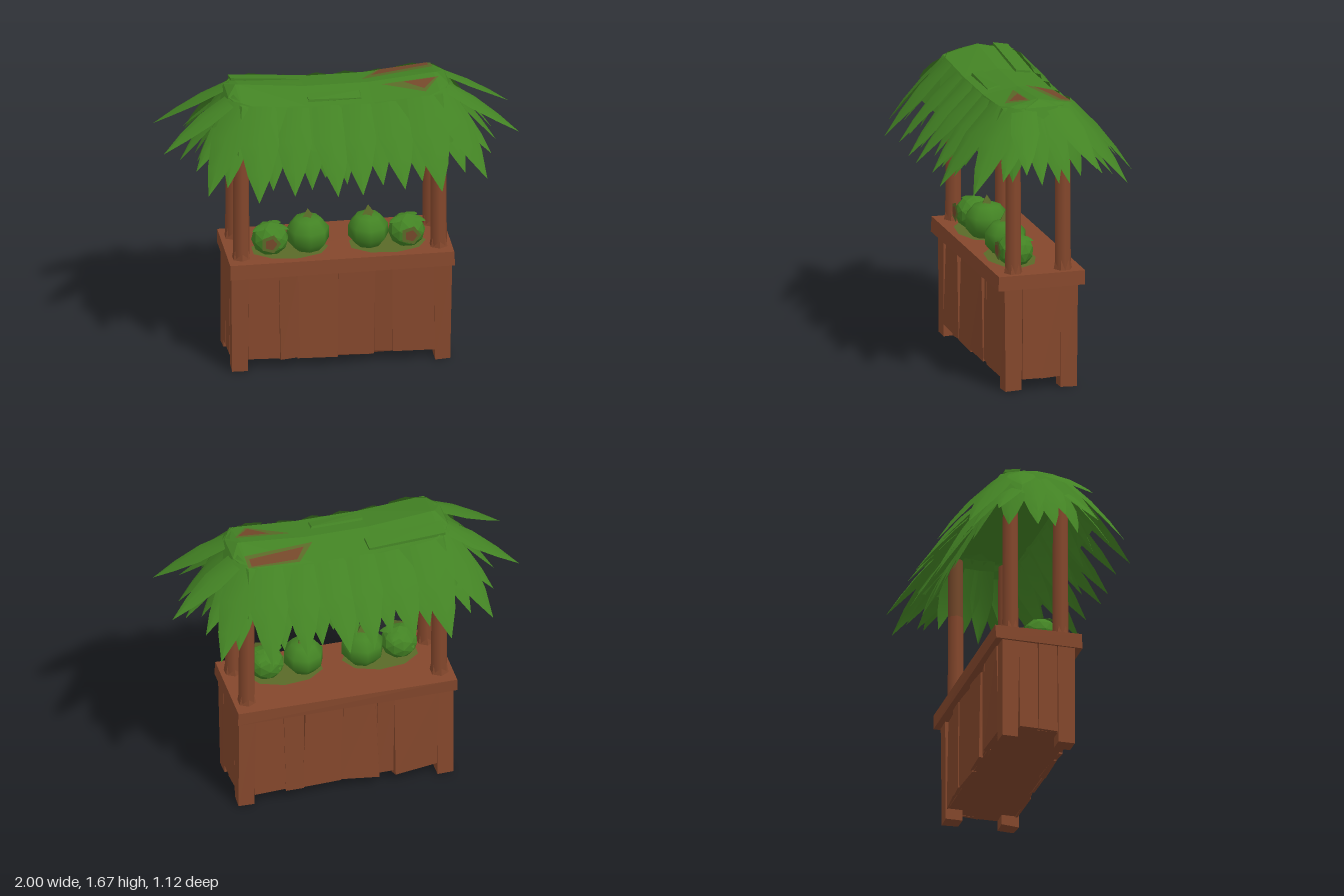
import * as THREE from 'three';

function material(name, color) {
  const m = new THREE.MeshStandardMaterial({ color, side: THREE.DoubleSide });
  m.name = name;
  return m;
}
const wood = material('wood', 0x84472c);
const leafGreen = material('leafGreen', 0x438324);
const driedLeaf = material('driedLeaf', 0x74482a);
const oliveLeaf = material('oliveLeaf', 0x5a6a28);

// Small seeded generator for the hand-hewn irregularity
let seed = 7;
const rnd = (a) => {
  seed = (seed * 16807) % 2147483647;
  return (seed / 2147483647 - 0.5) * 2 * a;
};

function add(parent, name, geo, mat, x = 0, y = 0, z = 0) {
  const m = new THREE.Mesh(geo, mat);
  m.name = name;
  m.position.set(x, y, z);
  parent.add(m);
  return m;
}

function faceted(geo) {
  const g = geo.index ? geo.toNonIndexed() : geo;
  g.computeVertexNormals();
  return g;
}

// Box whose corners are nudged and whose foot may be narrower than its top
function hewnBox(w, h, d, wobble, foot = 1) {
  const g = new THREE.BoxGeometry(w, h, d);
  const p = g.attributes.position;
  const moved = {};
  for (let i = 0; i < p.count; i++) {
    const key = [p.getX(i), p.getY(i), p.getZ(i)].map((v) => Math.sign(v)).join();
    moved[key] ??= [rnd(wobble), rnd(wobble), rnd(wobble)];
    const [a, b, c] = moved[key];
    const s = p.getY(i) < 0 ? foot : 1;
    p.setXYZ(i, p.getX(i) * s + a, p.getY(i) + b, p.getZ(i) * s + c);
  }
  return faceted(g);
}

function meshFrom(points, index) {
  const g = new THREE.BufferGeometry();
  g.setAttribute('position', new THREE.Float32BufferAttribute(points.flat(), 3));
  g.setIndex(index);
  g.computeVertexNormals();
  return g;
}

// Pointed leaf with a raised midrib, running from root to tip
function leaf(root, tip, width) {
  const a = new THREE.Vector3(...root), b = new THREE.Vector3(...tip);
  const dir = b.clone().sub(a).normalize();
  const side = dir.clone().cross(new THREE.Vector3(0, 1, 0)).normalize();
  const up = side.clone().cross(dir);
  const rows = [[0, 0.85, 0], [0.4, 1, 0.03], [0.72, 0.6, 0.03], [1, 0.01, 0]];
  const pts = [], idx = [];
  rows.forEach(([t, w, lift], r) => {
    for (let k = -1; k <= 1; k++) {
      const p = a.clone().lerp(b, t).addScaledVector(side, k * w * width / 2);
      p.addScaledVector(up, (k === 0 ? lift + 0.12 * w : lift) * width);
      pts.push(p.toArray());
    }
    if (r) for (let k = 0; k < 2; k++) {
      const i = (r - 1) * 3 + k;
      idx.push(i, i + 1, i + 4, i, i + 4, i + 3);
    }
  });
  return meshFrom(pts, idx);
}

function buildCounter() {
  const g = new THREE.Group();
  g.name = 'counter';
  add(g, 'cabinet', new THREE.BoxGeometry(1.2, 0.54, 0.39), wood, 0, 0.335, 0);
  add(g, 'counterTop', hewnBox(1.27, 0.08, 0.505, 0.006), wood, 0, 0.631, 0);

  // Corner legs
  for (const sx of [-1, 1]) for (const sz of [-1, 1])
    add(g, 'leg', hewnBox(0.095, 0.6, 0.1, 0.004, 0.94), wood, sx * 0.572, 0.304, sz * 0.163);

  // Uneven planks on the long sides
  const edges = [-0.53, -0.35, -0.24, -0.02, 0.18, 0.28, 0.53];
  for (const s of [-1, 1]) for (let i = 0; i < edges.length - 1; i++) {
    const w = edges[i + 1] - edges[i];
    add(g, 'sidePlank', hewnBox(w, 0.53, 0.025, 0.011), wood,
      s * (edges[i] + w / 2), 0.33, s * (0.194 + (i % 2) * 0.007));
  }
  // Planks on the short ends
  for (const s of [-1, 1]) for (const z of [-0.055, 0.055])
    add(g, 'endPlank', hewnBox(0.025, 0.53, 0.11, 0.004), wood, s * 0.606, 0.33, z);

  // Green tint left on the counter around each pair of fruit
  for (const s of [-1, 1]) {
    const tint = add(g, 'counterTint', new THREE.CircleGeometry(1, 9), oliveLeaf, s * 0.275, 0.679, 0.075);
    tint.rotation.x = -Math.PI / 2;
    tint.scale.set(0.22, 0.14, 1);
  }
  return g;
}

function buildPosts() {
  const g = new THREE.Group();
  g.name = 'posts';
  for (const sx of [-1, 1]) for (const sz of [-1, 1]) {
    const x = sx * 0.556, z = sz * 0.145;
    add(g, 'post', new THREE.CylinderGeometry(0.044, 0.047, 0.6, 8), wood, x, 0.95, z);
    add(g, 'postUpper', new THREE.CylinderGeometry(0.043, 0.044, 0.35, 8),
      sx > 0 && sz < 0 ? driedLeaf : wood, x, 1.425, z);
    add(g, 'postFoot', faceted(new THREE.CylinderGeometry(0.044, 0.056, 0.07, 6)), wood, x, 0.695, z);
  }
  return g;
}

// Full loop of 12 points from one quarter
function ring(quarter) {
  const back = [...quarter].reverse();
  const flip = (list, sx, sz) => list.map(([x, y, z]) => [x * sx, y, z * sz]);
  return [...quarter, ...flip(back, 1, -1), ...flip(quarter, -1, -1), ...flip(back, -1, 1)];
}

function buildCanopy() {
  const g = new THREE.Group();
  g.name = 'leafCanopy';

  // Thatch shell: ridge, shoulder and skirt loops
  const loops = [
    [[0.18, 1.638, 0], [0.55, 1.673, 0], [0.57, 1.673, 0]],
    [[0.18, 1.605, 0.2], [0.56, 1.63, 0.205], [0.62, 1.64, 0.09]],
    [[0.18, 1.4, 0.355], [0.6, 1.4, 0.355], [0.73, 1.45, 0.13]],
  ].map(ring);
  const n = 12, idx = [];
  for (let r = 0; r < 2; r++) for (let k = 0; k < n; k++) {
    const a = r * n + k, b = r * n + ((k + 1) % n);
    idx.push(a, a + n, b + n, a, b + n, b);
  }
  add(g, 'thatch', faceted(meshFrom(loops.flat(), idx)), leafGreen);

  // Root, tip and width for one quarter, mirrored to the others
  const leaves = [
    [[0.08, 1.6, 0.2], [0.07, 1.21, 0.56], 0.2],
    [[0.27, 1.6, 0.2], [0.31, 1.22, 0.54], 0.2],
    [[0.46, 1.62, 0.2], [0.515, 1.2, 0.56], 0.22],
    [[0.56, 1.63, 0.16], [0.785, 1.21, 0.45], 0.2],
    [[0.58, 1.64, 0.09], [1.0, 1.37, 0.205], 0.16],
    [[0.59, 1.64, 0.03], [0.89, 1.27, 0.08], 0.14],
    [[0.0, 1.57, 0.18], [0.0, 1.22, 0.43], 0.15],
    [[0.17, 1.58, 0.18], [0.2, 1.21, 0.45], 0.17],
    [[0.38, 1.58, 0.18], [0.42, 1.22, 0.45], 0.17],
    [[0.55, 1.57, 0.14], [0.67, 1.23, 0.4], 0.16],
    [[0.58, 1.58, 0.1], [0.83, 1.29, 0.29], 0.14],
    [[0.59, 1.58, 0.03], [0.79, 1.24, 0.05], 0.13],
    // steeper inner layer
    [[0.1, 1.55, 0.18], [0.11, 1.23, 0.35], 0.16],
    [[0.3, 1.55, 0.18], [0.31, 1.24, 0.35], 0.16],
    [[0.48, 1.55, 0.18], [0.52, 1.23, 0.35], 0.16],
    [[0.6, 1.55, 0.13], [0.72, 1.25, 0.2], 0.14],
  ];
  for (const sx of [-1, 1]) for (const sz of [-1, 1])
    for (const [a, b, w] of leaves) {
      if (a[0] === 0 && sx < 0) continue;
      const m = ([x, y, z]) => [x * sx, y, z * sz];
      add(g, 'leaf', leaf(m(a), m(b), w), leafGreen);
    }

  // Fold of thatch lying on the left shoulder, and a smaller one in front
  const fold = add(g, 'thatchFold', hewnBox(0.44, 0.02, 0.09, 0.006), leafGreen, -0.36, 1.638, -0.135);
  fold.rotation.set(-0.2, 0, -0.08);
  const foldB = add(g, 'thatchFold', hewnBox(0.3, 0.015, 0.07, 0.006), leafGreen, -0.03, 1.62, 0.12);
  foldB.rotation.x = 0.18;

  // Dried patches with an olive rim; heights follow the roof slope
  const onRoof = (lift) => ([x, z]) =>
    [x, 1.638 + (x - 0.18) * 0.095 - Math.abs(z) * (0.165 + (x - 0.18) * 0.13) + lift, z];
  const patch = (name, outline, lift, mat) => {
    const fan = [];
    for (let i = 1; i < outline.length - 1; i++) fan.push(0, i, i + 1);
    add(g, name, meshFrom(outline.map(onRoof(lift)), fan), mat);
  };
  patch('patchRim', [[0.15, -0.05], [0.56, -0.11], [0.56, -0.2], [0.26, -0.19]], 0.006, oliveLeaf);
  patch('driedPatch', [[0.21, -0.085], [0.54, -0.14], [0.54, -0.195], [0.27, -0.175]], 0.011, driedLeaf);
  patch('patchRim', [[0.25, 0.05], [0.48, 0.17], [0.57, 0.05]], 0.006, oliveLeaf);
  patch('driedPatch', [[0.37, 0.062], [0.475, 0.145], [0.55, 0.062]], 0.011, driedLeaf);
  return g;
}

function buildFruit() {
  const g = new THREE.Group();
  g.name = 'fruit';
  for (const s of [-1, 1]) {
    // Large fruit with a pointed crown
    const r = s < 0 ? 0.125 : 0.118;
    add(g, 'largeFruit', new THREE.SphereGeometry(r, 8, 5), leafGreen, s * 0.17, 0.765, 0.07)
      .scale.set(1, 0.9, 1.05);
    const crown = add(g, 'crown', faceted(new THREE.ConeGeometry(0.055, 0.08, 4)), oliveLeaf,
      s * 0.17, 0.876, 0.07);
    crown.rotation.y = 0.4;

    // Small faceted fruit with a dried face ringed in olive
    const small = new THREE.Group();
    small.name = 'smallFruit';
    small.position.set(s * 0.385, 0.752, 0.08);
    add(small, 'body', faceted(new THREE.IcosahedronGeometry(0.105, 1)), leafGreen)
      .scale.set(1, 0.92, 1);
    add(small, 'faceRim', new THREE.CircleGeometry(0.058, 5), oliveLeaf, s * 0.01, 0.01, 0.106);
    add(small, 'driedFace', new THREE.CircleGeometry(0.036, 5), driedLeaf, s * 0.01, 0.01, 0.11);
    for (let i = 0; i < 5; i++) {
      const a = i * 1.257 + 0.3;
      add(small, 'leafTuft', leaf([0.03 * Math.cos(a), 0.08, 0.03 * Math.sin(a)],
        [0.11 * Math.cos(a), 0.06 - (i % 2) * 0.07, 0.11 * Math.sin(a)], 0.07), leafGreen);
    }
    g.add(small);
  }
  return g;
}

export function createModel() {
  seed = 7;
  const model = new THREE.Group();
  model.name = 'marketStall';
  model.add(buildCounter(), buildPosts(), buildCanopy(), buildFruit());
  return model;
}
